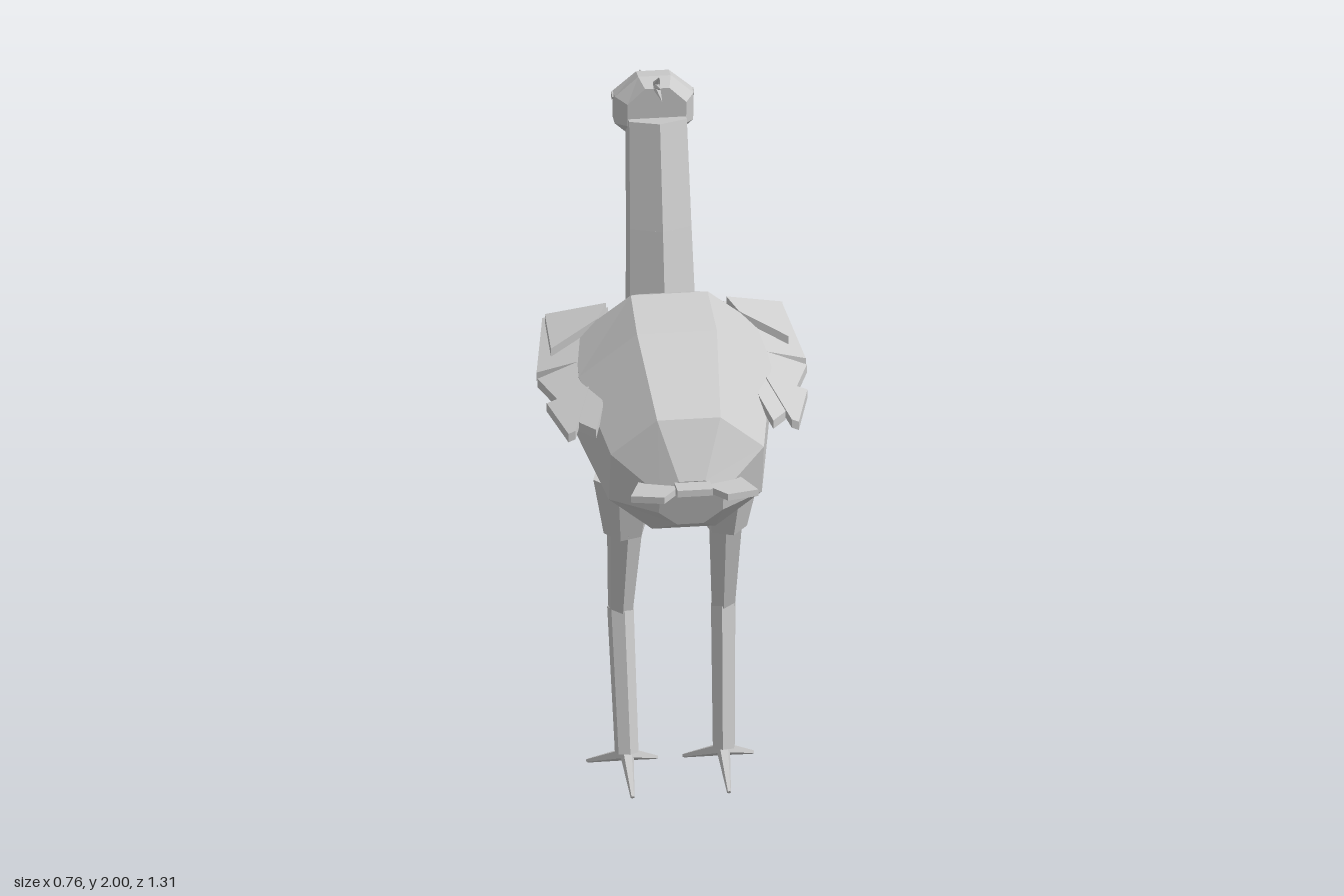
import * as THREE from 'three';

const grey = new THREE.MeshStandardMaterial({ color: 0xcccccc, flatShading: true });
grey.name = 'plain grey';

const UP = new THREE.Vector3(0, 1, 0);

function add(parent, name, geometry) {
  const mesh = new THREE.Mesh(geometry, grey);
  mesh.name = name;
  parent.add(mesh);
  return mesh;
}

// Tapered prism running from a to b
function limb(parent, name, a, b, ra, rb, sides = 6) {
  const p = new THREE.Vector3(...a), q = new THREE.Vector3(...b);
  const dir = q.clone().sub(p);
  const mesh = add(parent, name, new THREE.CylinderGeometry(rb, ra, dir.length(), sides));
  mesh.position.copy(p).add(q).multiplyScalar(0.5);
  mesh.quaternion.setFromUnitVectors(UP, dir.normalize());
  return mesh;
}

// Octagonal hull through rings [z, y, half width, half height], listed from +z to -z
function hull(rings, tilt) {
  const n = 8, pos = [], index = [];
  const k = 1 / Math.cos(Math.PI / n);
  for (const [z, y, w, h] of rings) {
    for (let j = 0; j < n; j++) {
      const t = ((j + 0.5) / n) * Math.PI * 2;
      const u = Math.sin(t) * h * k;
      pos.push(Math.cos(t) * w * k, y + u * Math.cos(tilt), z + u * Math.sin(tilt));
    }
  }
  const last = (rings.length - 1) * n;
  for (let i = 0; i < rings.length - 1; i++) {
    for (let j = 0; j < n; j++) {
      const a = i * n + j, b = i * n + ((j + 1) % n);
      index.push(a, a + n, b, b, a + n, b + n);
    }
  }
  for (let j = 1; j < n - 1; j++) {
    index.push(0, j, j + 1, last, last + j + 1, last + j);
  }
  const g = new THREE.BufferGeometry();
  g.setAttribute('position', new THREE.Float32BufferAttribute(pos, 3));
  g.setIndex(index);
  g.computeVertexNormals();
  return g;
}

// Thin slab with an outline in (x, z), its top following the height rule
function feather(outline, thickness, side, height) {
  const shape = new THREE.Shape(outline.map(([x, z]) => new THREE.Vector2(x * side, z)));
  const g = new THREE.ExtrudeGeometry(shape, { depth: thickness, bevelEnabled: false });
  g.rotateX(Math.PI / 2);
  const p = g.attributes.position;
  for (let i = 0; i < p.count; i++) {
    p.setY(i, p.getY(i) + height(Math.abs(p.getX(i)), p.getZ(i)));
  }
  g.computeVertexNormals();
  return g;
}

export function createModel() {
  const bird = new THREE.Group();
  bird.name = 'bird';

  // Body
  add(bird, 'body', hull([
    [0.537, 1.032, 0.09, 0.08],
    [0.423, 1.069, 0.216, 0.204],
    [0.132, 1.156, 0.272, 0.257],
    [-0.042, 1.206, 0.262, 0.241],
    [-0.17, 1.225, 0.16, 0.145],
  ], 0.285));

  // Neck
  limb(bird, 'lowerNeck', [0, 1.243, -0.164], [0, 1.54, -0.217], 0.108, 0.1);
  limb(bird, 'upperNeck', [0, 1.535, -0.216], [0, 1.842, -0.279], 0.1, 0.094);

  // Head, beak and crest
  add(bird, 'head', hull([
    [-0.26, 1.858, 0.083, 0.084],
    [-0.325, 1.846, 0.111, 0.105],
    [-0.375, 1.844, 0.111, 0.1],
    [-0.42, 1.841, 0.082, 0.08],
    [-0.437, 1.839, 0.05, 0.05],
  ], 0.1));
  limb(bird, 'beak', [0, 1.835, -0.425], [0, 1.805, -0.655], 0.034, 0.002);
  for (const [y, z] of [[1.998, -0.205], [1.978, -0.17], [1.955, -0.142]]) {
    limb(bird, 'crestSpike', [0, 1.935, -0.285], [0, y, z], 0.013, 0.001, 5);
  }

  // Tail feathers
  const tailHeight = (x, z) => 1.09 + (z - 0.5) * 0.13 - x * 0.03;
  add(bird, 'middleTailFeather',
    feather([[-0.05, 0.45], [0.05, 0.45], [0.05, 0.63], [-0.05, 0.63]], 0.02, 1, (x, z) => tailHeight(x, z) + 0.01));

  // Wing feathers, from the shoulder to the tip
  const wing = [
    ['shoulderFeather', [[0.163, -0.055], [0.34, -0.125], [0.38, 0.07], [0.2, 0.115]], 0],
    ['shoulderCover', [[0.17, -0.045], [0.335, -0.105], [0.335, 0.035], [0.2, 0]], 0.025],
    ['middleFeather', [[0.22, 0.1], [0.38, 0.095], [0.29, 0.33], [0.25, 0.385], [0.22, 0.3]], 0],
    ['tipFeather', [[0.25, 0.215], [0.368, 0.208], [0.325, 0.36], [0.305, 0.36]], 0.005],
  ];

  for (const side of [-1, 1]) {
    const label = side > 0 ? 'left' : 'right';

    add(bird, label + 'TailFeather',
      feather([[0.04, 0.45], [0.13, 0.45], [0.18, 0.615], [0.09, 0.65], [0.05, 0.585]], 0.02, side, tailHeight));

    const wingGroup = new THREE.Group();
    wingGroup.name = label + 'Wing';
    bird.add(wingGroup);
    for (const [name, outline, lift] of wing) {
      add(wingGroup, name, feather(outline, 0.026, side, (x, z) => 1.42 + lift - 0.435 * x - 0.29 * z));
    }

    // Eye
    const eye = add(bird, label + 'Eye', new THREE.CylinderGeometry(0.011, 0.011, 0.008, 6));
    eye.rotation.z = Math.PI / 2;
    eye.position.set(side * 0.112, 1.875, -0.36);

    // Leg
    const leg = new THREE.Group();
    leg.name = label + 'Leg';
    bird.add(leg);
    const at = (x, y, z) => [side * x, y, z];
    limb(leg, 'thigh', at(0.147, 0.965, 0.187), at(0.142, 0.775, 0.153), 0.092, 0.062);
    limb(leg, 'upperShank', at(0.142, 0.8, 0.162), at(0.145, 0.497, 0.085), 0.053, 0.037);
    limb(leg, 'lowerShank', at(0.145, 0.5, 0.085), at(0.137, 0.085, 0.165), 0.038, 0.034);

    // Toes: one back, three forward
    for (const [dx, dz] of [[0, 0.13], [0, -0.162], [-0.097, -0.12], [0.097, -0.12]]) {
      limb(leg, 'toe', at(0.136, 0.08, 0.165), at(0.136 + dx, 0.006, 0.165 + dz), 0.02, 0.006, 5);
    }
  }
  return bird;
}
